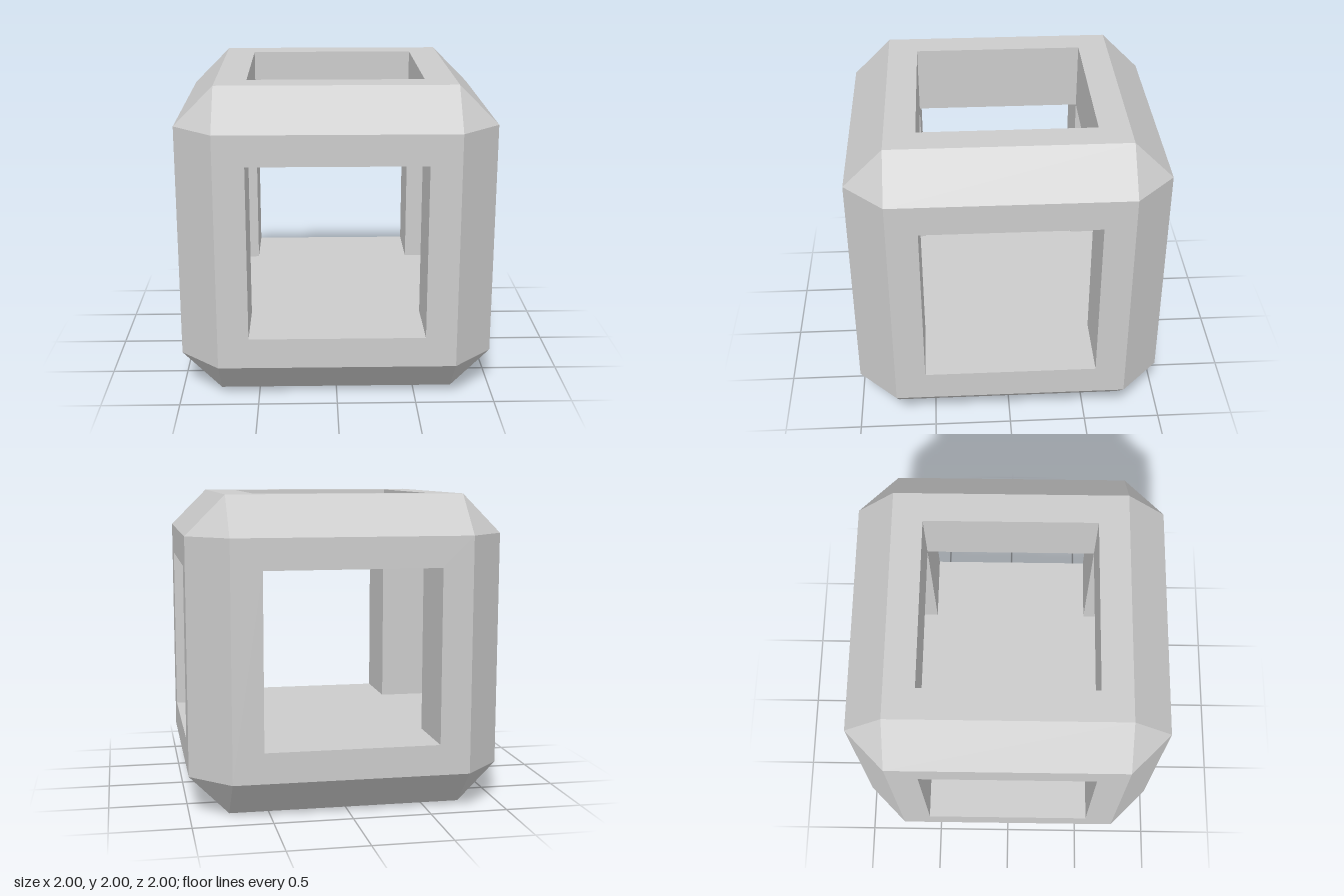
import * as THREE from 'three';
import { mergeGeometries } from 'three/addons/utils/BufferGeometryUtils.js';

const HALF = 1;        // half size of the block
const FLAT = 0.75;     // half size of each flat face
const HOLE = 0.555;    // half size of each window and of the hollow
const Q = Math.PI / 2;

const material = new THREE.MeshStandardMaterial({ color: 0xcccccc, flatShading: true });

function square(r, Type = THREE.Shape) {
  return new Type([[-r, -r], [r, -r], [r, r], [-r, r]].map(([x, y]) => new THREE.Vector2(x, y)));
}

// Flat frame facing +z with four reveal walls running in to the hollow
function windowGeometry() {
  const shape = square(FLAT);
  shape.holes.push(square(HOLE, THREE.Path));
  const parts = [new THREE.ShapeGeometry(shape).translate(0, 0, HALF)];
  for (let k = 0; k < 4; k++) {
    parts.push(new THREE.PlaneGeometry(2 * HOLE, HALF - HOLE)
      .rotateX(-Q).translate(0, -HOLE, (HALF + HOLE) / 2).rotateZ(k * Q));
  }
  return mergeGeometries(parts);
}

// Bevel strip between the +z and +y faces
function bevelGeometry() {
  const mid = (HALF + FLAT) / 2;
  return new THREE.PlaneGeometry(2 * FLAT, (HALF - FLAT) * Math.SQRT2)
    .rotateX(-Q / 2).translate(0, mid, mid);
}

// Triangle closing the +x +y +z corner
function cornerGeometry() {
  const geometry = new THREE.BufferGeometry();
  geometry.setAttribute('position', new THREE.Float32BufferAttribute(
    [HALF, FLAT, FLAT, FLAT, HALF, FLAT, FLAT, FLAT, HALF], 3));
  geometry.computeVertexNormals();
  return geometry;
}

export function createModel() {
  const model = new THREE.Group();
  model.name = 'hollowBeveledCube';
  const add = (name, geometry) => {
    const mesh = new THREE.Mesh(geometry.translate(0, HALF, 0), material);
    mesh.name = name;
    model.add(mesh);
  };

  // Windows on four sides and the top
  ['front', 'left', 'back', 'right'].forEach((side, k) =>
    add(side + 'Window', windowGeometry().rotateY(k * Q)));
  add('topWindow', windowGeometry().rotateX(-Q));

  // Closed underside and inner floor
  add('base', new THREE.PlaneGeometry(2 * FLAT, 2 * FLAT).rotateX(Q).translate(0, -HALF, 0));
  add('innerFloor', new THREE.PlaneGeometry(2 * HOLE, 2 * HOLE).rotateX(-Q).translate(0, -HOLE, 0));

  // Twelve bevels, four along each axis, and eight corners
  for (let k = 0; k < 4; k++) {
    add('bevelX', bevelGeometry().rotateX(k * Q));
    add('bevelY', bevelGeometry().rotateX(k * Q).rotateZ(Q));
    add('bevelZ', bevelGeometry().rotateX(k * Q).rotateY(Q));
    add('topCorner', cornerGeometry().rotateY(k * Q));
    add('bottomCorner', cornerGeometry().rotateX(Math.PI).rotateY(k * Q));
  }
  return model;
}
